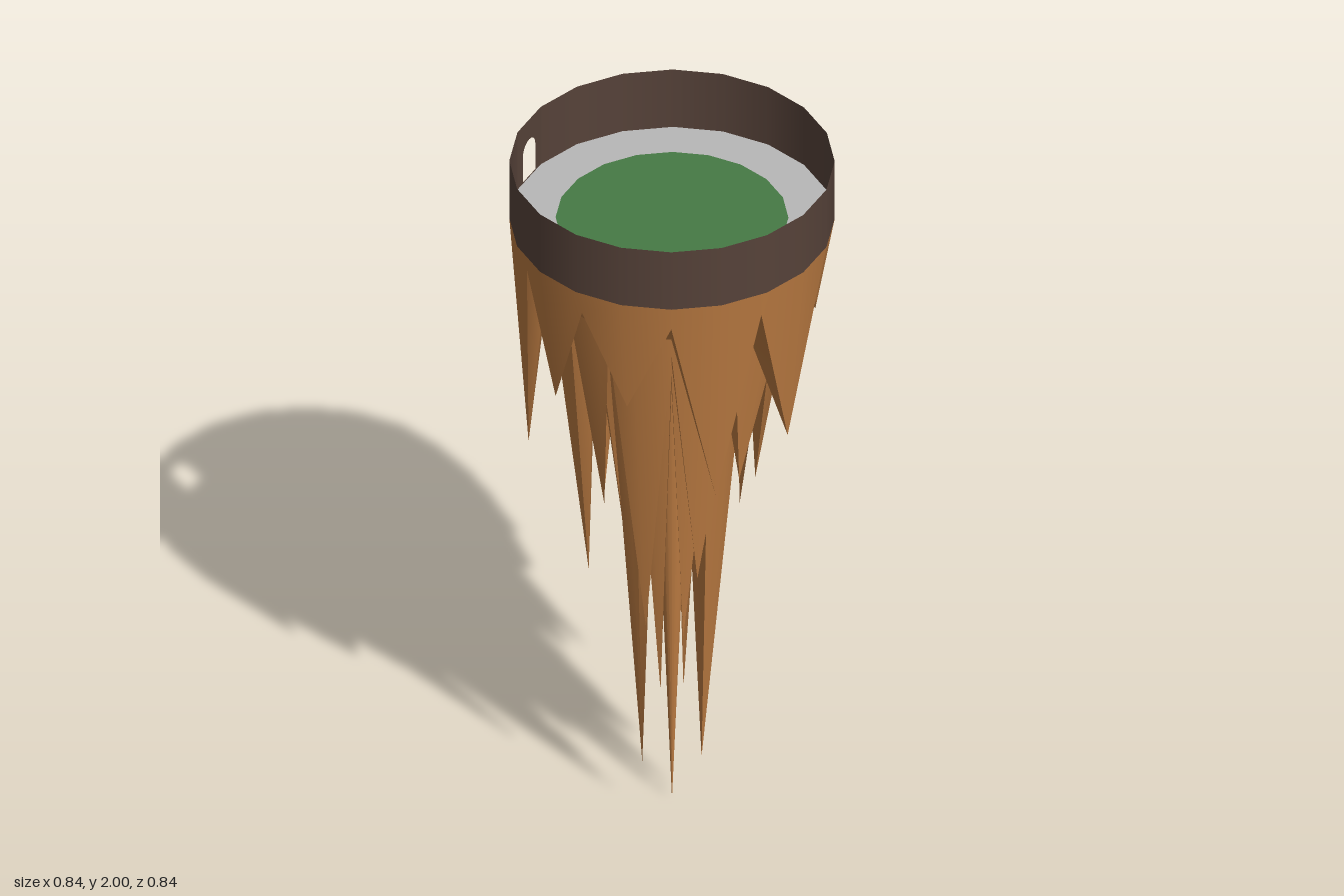
import * as THREE from 'three';

const SIDES = 20, RADIUS = 0.422, FLOOR = 1.82, TOP = 2;
const STEP = (Math.PI * 2) / SIDES;

const paint = (color) => new THREE.MeshStandardMaterial({ color, side: THREE.DoubleSide });

function part(name, geometry, material) {
  const mesh = new THREE.Mesh(geometry, material);
  mesh.name = name;
  return mesh;
}

// Round strip between two rings; each ring gives [radius, height] per corner
function strip(from, to) {
  const g = new THREE.CylinderGeometry(1, 0.9, 1, SIDES, 1, true);
  [from, to].forEach((ring, row) => {
    for (let i = 0; i <= SIDES; i++) {
      const [r, y] = ring(i % SIDES), a = i * STEP;
      g.attributes.position.setXYZ(row * (SIDES + 1) + i, r * Math.sin(a), y, r * Math.cos(a));
    }
  });
  return g;
}

// Tier of solid teeth: outer face down to a zigzag, inner face back up to the next tier
function spikeTier(name, { top, notch, tip, tips, inner }, material) {
  const zigzag = (i) => (i % 2 ? [tip, tips[(i - 1) / 2]] : notch);
  const tier = new THREE.Group();
  tier.name = name;
  const backs = strip(zigzag, () => inner);
  backs.computeVertexNormals();
  tier.add(part(name + 'Outside', strip(() => top, zigzag), material), part(name + 'Inside', backs, material));
  return tier;
}

// One flat wall panel pierced by a round-topped doorway
function doorPanel() {
  const half = RADIUS * Math.sin(STEP / 2), h = TOP - FLOOR, w = 0.035;
  const s = new THREE.Shape();
  s.moveTo(-half, 0).lineTo(half, 0).lineTo(half, h).lineTo(-half, h).closePath();
  const hole = new THREE.Path();
  hole.moveTo(-w, 0.004).lineTo(-w, 0.083);
  hole.absarc(0, 0.083, w, Math.PI, 0, true);
  hole.lineTo(w, 0.004);
  s.holes.push(hole);
  return new THREE.ShapeGeometry(s, 8);
}

export function createModel() {
  const group = new THREE.Group();
  const wood = paint(0xba7a41), bark = paint(0x564239);

  // Rim wall, with the doorway filling the skipped segment
  const doorStart = 15 * STEP;
  const wall = part('rimWall', new THREE.CylinderGeometry(RADIUS, RADIUS, TOP - FLOOR, SIDES - 1, 1, true,
    doorStart + STEP, (SIDES - 1) * STEP), bark);
  wall.position.y = (TOP + FLOOR) / 2;
  const door = part('doorwayPanel', doorPanel(), bark);
  const a = doorStart + STEP / 2, apothem = RADIUS * Math.cos(STEP / 2);
  door.position.set(apothem * Math.sin(a), FLOOR, apothem * Math.cos(a));
  door.rotation.y = a;
  group.add(wall, door);

  // Floor and lawn
  const floor = part('floor', new THREE.CircleGeometry(RADIUS, SIDES).rotateX(-Math.PI / 2), paint(0xb8b8b8));
  floor.position.y = FLOOR;
  const lawn = part('lawn', new THREE.CircleGeometry(0.302, SIDES).rotateX(-Math.PI / 2), paint(0x467a45));
  lawn.position.y = FLOOR + 0.003;
  group.add(floor, lawn);

  // Tiers of hanging spikes, each starting where the one outside it folds back
  const fold1 = [0.325, 1.66], fold2 = [0.205, 1.5], fold3 = [0.05, 1.3];
  const tiers = {
    outerSpikes: { top: [RADIUS, FLOOR], notch: [0.395, 1.74], tip: 0.372, inner: fold1,
      tips: [1.47, 1.19, 1.29, 1.54, 1.47, 1.25, 0.95, 1.62, 1.12, 1.41] },
    middleSpikes: { top: fold1, notch: [0.28, 1.58], tip: 0.216, inner: fold2,
      tips: [0.68, 0.83, 1.09, 1.01, 0.84, 0.95, 0.61, 0.89, 0.72, 1.01] },
    innerSpikes: { top: fold2, notch: [0.165, 1.42], tip: 0.095, inner: fold3,
      tips: [0.4, 0.57, 0.17, 0.51, 0.34, 0.29, 0.55, 0.3, 0.6, 0.155] },
  };
  for (const [name, spec] of Object.entries(tiers)) group.add(spikeTier(name, spec, wood));

  // Central needle
  const needle = part('centreSpike', new THREE.ConeGeometry(fold3[0], fold3[1], SIDES, 1, true).rotateX(Math.PI), wood);
  needle.position.y = fold3[1] / 2;
  group.add(needle);

  return group;
}
